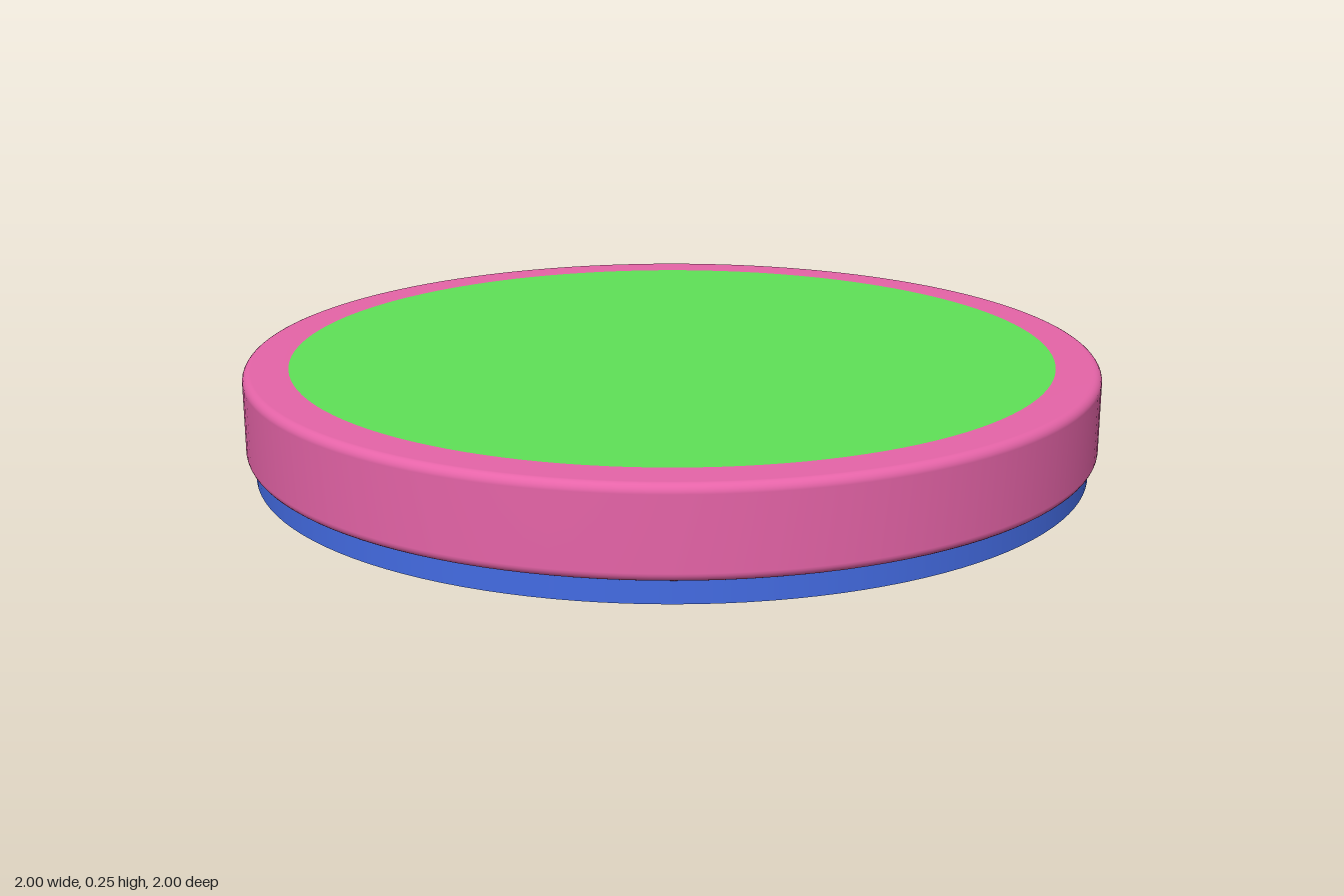
import * as THREE from 'three';

const SEGMENTS = 128;

function addPart(group, name, geometry, color) {
  const material = new THREE.MeshStandardMaterial({ color, side: THREE.DoubleSide });
  const mesh = new THREE.Mesh(geometry, material);
  mesh.name = name;
  group.add(mesh);
  return mesh;
}

export function createModel() {
  const group = new THREE.Group();
  group.name = 'lid';

  const height = 0.25, outer = 1, panel = 0.895, skirt = 0.98, skirtTop = 0.05;
  const round = outer - skirt;

  // Rim shell: rounded lower lip, straight wall, rounded upper edge, flat top ring
  const profile = [];
  const addArc = (cy, from) => {
    for (let i = 0; i <= 6; i++) {
      const a = from + (i / 6) * (Math.PI / 2);
      profile.push(new THREE.Vector2(skirt + round * Math.cos(a), cy + round * Math.sin(a)));
    }
  };
  addArc(skirtTop + round, -Math.PI / 2);
  addArc(height - round, 0);
  profile.push(new THREE.Vector2(panel, height));
  addPart(group, 'rim', new THREE.LatheGeometry(profile, SEGMENTS), 0xe664a8);

  // Thin open band below the rim
  const band = new THREE.CylinderGeometry(skirt, skirt, skirtTop, SEGMENTS, 1, true);
  addPart(group, 'lowerBand', band, 0x446ce4).position.y = skirtTop / 2;

  // Flat round panel filling the top
  const disc = new THREE.CircleGeometry(panel, SEGMENTS).rotateX(-Math.PI / 2);
  addPart(group, 'topPanel', disc, 0x5fe258).position.y = height;

  return group;
}
